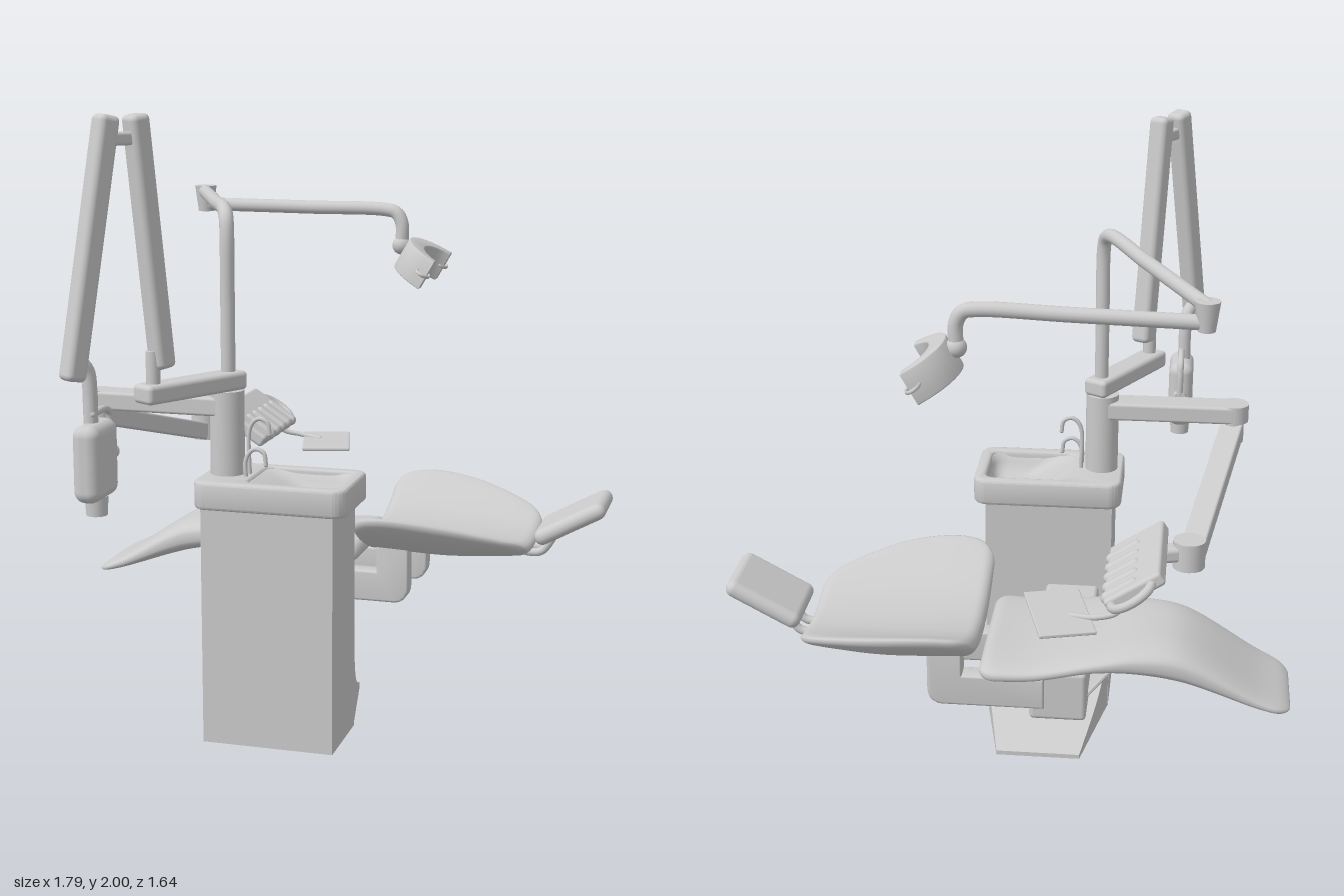
import * as THREE from 'three';
import { toCreasedNormals } from 'three/addons/utils/BufferGeometryUtils.js';
import { RoundedBoxGeometry } from 'three/addons/geometries/RoundedBoxGeometry.js';

const grey = new THREE.MeshStandardMaterial({ color: 0xcccccc });
const greyDouble = new THREE.MeshStandardMaterial({ color: 0xcccccc, side: THREE.DoubleSide });
const V = (p) => new THREE.Vector3(...p);

export function createModel() {
  const model = new THREE.Group();
  model.name = 'dentalUnit';

  const add = (name, geo, pos = [0, 0, 0], rot = [0, 0, 0], parent = model, mat = grey) => {
    const m = new THREE.Mesh(geo, mat);
    m.name = name;
    m.position.set(...pos);
    m.rotation.set(...rot);
    parent.add(m);
    return m;
  };
  const rbox = (name, size, r, pos, rot, parent) =>
    add(name, new RoundedBoxGeometry(...size, 4, r), pos, rot, parent);
  const cyl = (name, r, y0, y1, x, z, rTop = r) =>
    add(name, new THREE.CylinderGeometry(rTop, r, y1 - y0, 24), [x, (y0 + y1) / 2, z]);
  // Rounded bar running from a to b
  const beam = (name, a, b, w, h, r) => {
    const A = V(a), B = V(b);
    const m = rbox(name, [w, h, A.distanceTo(B)], r, A.clone().lerp(B, 0.5).toArray());
    m.lookAt(B);
    return m;
  };
  // Round pipe through points, with ball ends
  const pipe = (name, pts, r, seg = 48) => {
    const g = new THREE.Group();
    g.name = name;
    const curve = new THREE.CatmullRomCurve3(pts.map(V));
    add(name + 'Pipe', new THREE.TubeGeometry(curve, seg, r, 14), undefined, undefined, g);
    for (const p of [pts[0], pts[pts.length - 1]])
      add(name + 'End', new THREE.SphereGeometry(r, 14, 10), p, undefined, g);
    model.add(g);
  };
  const extrude = (shape, depth, bevel = 0) => toCreasedNormals(new THREE.ExtrudeGeometry(shape, {
    depth, curveSegments: 16, bevelEnabled: bevel > 0, bevelSize: bevel, bevelThickness: bevel, bevelSegments: 3,
  }), 0.6);
  // Skin over a list of equal-length rings of points
  const loft = (rings) => {
    const n = rings[0].length, idx = [];
    for (let i = 0; i < rings.length - 1; i++)
      for (let j = 0; j < n; j++) {
        const k = (j + 1) % n, a = i * n, b = a + n;
        idx.push(a + j, b + j, b + k, a + j, b + k, a + k);
      }
    const geo = new THREE.BufferGeometry();
    geo.setAttribute('position', new THREE.Float32BufferAttribute(rings.flat(2), 3));
    geo.setIndex(idx);
    geo.computeVertexNormals();
    return geo;
  };
  const roundedRect = (x0, x1, y0, y1, r, Type = THREE.Shape) => {
    const s = new Type();
    s.absarc(x1 - r, y1 - r, r, 0, Math.PI / 2);
    s.absarc(x0 + r, y1 - r, r, Math.PI / 2, Math.PI);
    s.absarc(x0 + r, y0 + r, r, Math.PI, Math.PI * 1.5);
    s.absarc(x1 - r, y0 + r, r, Math.PI * 1.5, Math.PI * 2);
    s.closePath();
    return s;
  };

  // Cabinet with tapering floor foot
  add('cabinet', new THREE.BoxGeometry(0.43, 0.78, 0.27), [-0.085, 0.39, 0.265]);
  const foot = new THREE.Shape();
  foot.moveTo(-0.14, 0);
  foot.lineTo(0.23, 0);
  foot.lineTo(0.23, 0.015);
  foot.bezierCurveTo(0.05, 0.08, -0.11, 0.12, -0.13, 0.3);
  foot.lineTo(-0.14, 0.3);
  let footGeo = new THREE.ExtrudeGeometry(foot, { depth: 0.43, curveSegments: 20, bevelEnabled: false });
  footGeo.rotateY(Math.PI / 2).translate(-0.215, 0, 0);
  const fp = footGeo.attributes.position;
  for (let i = 0; i < fp.count; i++)
    fp.setX(i, fp.getX(i) * (1 - 0.35 * Math.max(0, (0.13 - fp.getZ(i)) / 0.36)));
  footGeo.computeVertexNormals();
  add('foot', toCreasedNormals(footGeo, 0.6), [-0.085, 0, 0]);

  // Basin: rim with an opening and a bowl sloping down to one side
  const rim = roundedRect(-0.32, 0.16, -0.4, -0.11, 0.04);
  rim.holes.push(roundedRect(-0.17, 0.14, -0.375, -0.13, 0.04, THREE.Path));
  add('basinRim', extrude(rim, 0.07, 0.01).rotateX(-Math.PI / 2), [0, 0.78, 0]);
  const bowl = [[-0.18, 0.15, 0.12, 0.385, 0.855], [-0.15, 0.135, 0.135, 0.37, 0.85], [-0.09, 0.13, 0.15, 0.36, 0.825],
    [-0.03, 0.12, 0.17, 0.34, 0.795], [0.01, 0.1, 0.19, 0.32, 0.785], [0.055, 0.056, 0.25, 0.251, 0.782]]
    .map(([x0, x1, z0, z1, y]) => Array.from({ length: 40 }, (_, j) => {
      const a = (j / 40) * Math.PI * 2, c = Math.cos(a), s = Math.sin(a);
      const e = (v) => Math.sign(v) * Math.abs(v) ** 0.45;
      return [(x0 + x1) / 2 + e(c) * (x1 - x0) / 2, y, (z0 + z1) / 2 + e(s) * (z1 - z0) / 2];
    }));
  add('basinBowl', loft(bowl), undefined, undefined, model, greyDouble);
  for (const [z, top] of [[0.25, 1.04], [0.29, 0.95]])
    pipe('tap', [[-0.185, 0.85, z], [-0.185, top - 0.04, z], [-0.17, top - 0.01, z], [-0.15, top, z],
      [-0.125, top - 0.012, z], [-0.118, top - 0.05, z]], 0.007);

  // Chair carrier: cross bar, two hooked brackets, strut
  rbox('crossBar', [0.18, 0.17, 0.63], 0.015, [-0.17, 0.385, -0.175]);
  const hook = new THREE.Shape();
  hook.moveTo(-0.12, 0.35);
  hook.lineTo(0.19, 0.35);
  hook.quadraticCurveTo(0.235, 0.35, 0.235, 0.4);
  hook.lineTo(0.235, 0.54);
  hook.lineTo(0.14, 0.54);
  hook.lineTo(0.14, 0.44);
  hook.lineTo(-0.12, 0.44);
  for (const z of [-0.175, -0.465])
    add('backrestBracket', extrude(hook, 0.05, 0.008), [0, 0, z - 0.025]);
  beam('legRestStrut', [-0.25, 0.33, -0.33], [-0.41, 0.53, -0.33], 0.12, 0.012, 0.004);

  // Cushions: stations of [x, half width, top, bottom]; wing lifts the sides
  const cushion = (name, stations, wing) => {
    const cz = -0.33, first = stations[0][0], last = stations[stations.length - 1][0];
    const paths = [1, 2, 3].map((k) => new THREE.CatmullRomCurve3(stations.map((s) => new THREE.Vector3(s[0], s[k], 0))));
    const rings = [], N = 44;
    for (let i = 0; i <= N; i++) {
      const t = (1 - Math.cos((i / N) * Math.PI)) / 2;
      const [w, top, bot] = paths.map((p) => p.getPoint(t).y), x = paths[0].getPoint(t).x;
      const d = Math.min(x - first, last - x);
      const round = (r) => (d >= r ? 1 : Math.sqrt(Math.max(0, 1 - (1 - d / r) ** 2)));
      const hw = w - 0.06 * (1 - round(0.06)), h = ((top - bot) / 2) * round(0.035);
      rings.push(Array.from({ length: 48 }, (_, j) => {
        const a = (j / 48) * Math.PI * 2, c = Math.cos(a), s = Math.sin(a);
        const dz = Math.sign(c) * Math.abs(c) ** 0.6 * hw;
        return [x, (top + bot) / 2 + Math.sign(s) * Math.abs(s) ** 0.7 * h + wing * dz * dz, cz + dz];
      }));
    }
    add(name, loft(rings));
  };
  cushion('seatAndLegRest', [[-0.9, 0.165, 0.375, 0.35], [-0.8, 0.182, 0.425, 0.375], [-0.56, 0.205, 0.572, 0.455],
    [-0.42, 0.22, 0.585, 0.485], [-0.29, 0.24, 0.565, 0.5], [-0.1, 0.263, 0.535, 0.475], [0.07, 0.275, 0.54, 0.47]], 0);
  cushion('backrest', [[0.08, 0.35, 0.57, 0.5], [0.2, 0.375, 0.57, 0.495], [0.37, 0.358, 0.565, 0.49],
    [0.52, 0.3, 0.56, 0.5], [0.64, 0.225, 0.555, 0.51]], 1);
  rbox('headrest', [0.26, 0.055, 0.25], 0.027, [0.772, 0.636, -0.335], [0, 0, 0.5]);
  for (const z of [-0.3, -0.375])
    pipe('headrestStem', [[0.56, 0.54, z], [0.62, 0.515, z], [0.67, 0.52, z], [0.72, 0.59, z]], 0.014);

  // Column and lamp pole
  cyl('column', 0.055, 0.85, 1.13, -0.255, 0.26);
  pipe('lampPole', [[-0.25, 1.1, 0.26], [-0.25, 1.4, 0.26], [-0.25, 1.63, 0.26], [-0.256, 1.67, 0.247],
    [-0.273, 1.69, 0.21], [-0.4, 1.69, -0.075], [-0.59, 1.69, -0.5]], 0.023, 80);
  cyl('lampElbow', 0.026, 1.62, 1.71, -0.59, -0.51, 0.038);
  pipe('lampArm', [[-0.59, 1.645, -0.51], [-0.2, 1.645, -0.478], [0.08, 1.645, -0.455], [0.12, 1.635, -0.452],
    [0.14, 1.6, -0.45], [0.14, 1.52, -0.45]], 0.023, 80);

  // Lamp head: curved shade with a grip at each tip
  const lamp = new THREE.Group();
  lamp.name = 'lampHead';
  lamp.position.set(0.2, 1.475, -0.45);
  lamp.rotation.z = Math.PI / 3;
  model.add(lamp);
  const shade = new THREE.Shape();
  shade.moveTo(-0.145, -0.065);
  shade.bezierCurveTo(-0.12, 0.1, 0.12, 0.1, 0.145, -0.065);
  shade.lineTo(0.115, -0.065);
  shade.bezierCurveTo(0.08, 0.03, -0.08, 0.03, -0.115, -0.065);
  add('lampShade', extrude(shade, 0.1, 0.004).translate(0, 0, -0.05).rotateY(Math.PI / 2), [0, 0, 0], [0, 0, 0], lamp);
  for (const s of [-1, 1])
    add('lampGrip', new THREE.TorusGeometry(0.035, 0.006, 8, 24).scale(0.65, 1, 1), [0, -0.055, s * 0.145],
      [0, Math.PI / 2, Math.PI / 2], lamp);
  add('lampJoint', new THREE.SphereGeometry(0.032, 20, 14), [0.14, 1.525, -0.45]);

  // Imaging head on its folding arm
  beam('imagingBaseArm', [-0.228, 1.16, 0.215], [-0.425, 1.16, 0.565], 0.085, 0.06, 0.015);
  cyl('imagingPivot', 0.022, 1.18, 1.29, -0.4, 0.525);
  beam('imagingLowerArm', [-0.378, 1.235, 0.5], [-0.42, 2, 0.578], 0.066, 0.068, 0.018);
  beam('imagingUpperArm', [-0.473, 2, 0.668], [-0.552, 1.235, 0.785], 0.066, 0.068, 0.018);
  beam('imagingKnuckle', [-0.425, 1.93, 0.59], [-0.475, 1.93, 0.665], 0.03, 0.04, 0.01);
  pipe('imagingHanger', [[-0.54, 1.29, 0.755], [-0.525, 1.26, 0.735], [-0.52, 1.2, 0.73], [-0.52, 1.08, 0.73]], 0.022);
  rbox('imagingHead', [0.085, 0.235, 0.185], 0.035, [-0.512, 0.987, 0.72]);
  cyl('imagingNozzle', 0.032, 0.82, 0.88, -0.512, 0.72, 0.036);
  pipe('imagingYoke', [[-0.51, 1.13, 0.74], [-0.51, 1.13, 0.65], [-0.51, 1.115, 0.615], [-0.51, 1.08, 0.605],
    [-0.51, 0.98, 0.605]], 0.011);
  add('imagingYokePivot', new THREE.CylinderGeometry(0.024, 0.024, 0.04, 18), [-0.51, 0.99, 0.615], [Math.PI / 2, 0, 0]);

  // Instrument arm
  beam('instrumentBaseArm', [-0.24, 1.08, 0.26], [-0.7, 1.08, 0.26], 0.1, 0.06, 0.01);
  cyl('instrumentElbowCap', 0.05, 1.05, 1.11, -0.695, 0.26);
  cyl('instrumentElbow', 0.035, 0.98, 1.06, -0.695, 0.25);
  beam('instrumentArm', [-0.695, 1.025, 0.26], [-0.575, 0.85, -0.37], 0.075, 0.06, 0.008);
  cyl('instrumentWrist', 0.05, 0.82, 0.91, -0.565, -0.4);
  beam('instrumentLink', [-0.565, 0.87, -0.4], [-0.42, 0.87, -0.44], 0.06, 0.05, 0.015);

  // Instrument tray with ribs and a looped handle
  const tray = new THREE.Group();
  tray.name = 'instrumentTray';
  tray.position.set(-0.41, 0.878, -0.53);
  tray.rotation.z = -0.58;
  model.add(tray);
  rbox('trayBody', [0.195, 0.045, 0.38], 0.012, [0, 0, 0], [0, 0, 0], tray);
  for (let i = 0; i < 5; i++)
    add('trayRib', new THREE.CapsuleGeometry(0.02, 0.09, 6, 14), [0.042, 0.012, -0.15 + i * 0.065],
      [0, 0, Math.PI / 2], tray);
  add('trayHandle', new THREE.TorusGeometry(0.062, 0.014, 10, 28, Math.PI).scale(1.1, 1, 1), [0.01, 0, -0.185],
    [-Math.PI / 2, 0, 0], tray);

  // Side tablet
  rbox('tablet', [0.17, 0.012, 0.285], 0.004, [-0.188, 0.773, -0.66], [0, 0.26, 0]);
  pipe('tabletStem', [[-0.38, 0.85, -0.68], [-0.36, 0.8, -0.69], [-0.3, 0.785, -0.7], [-0.22, 0.777, -0.68]], 0.009);

  return model;
}
